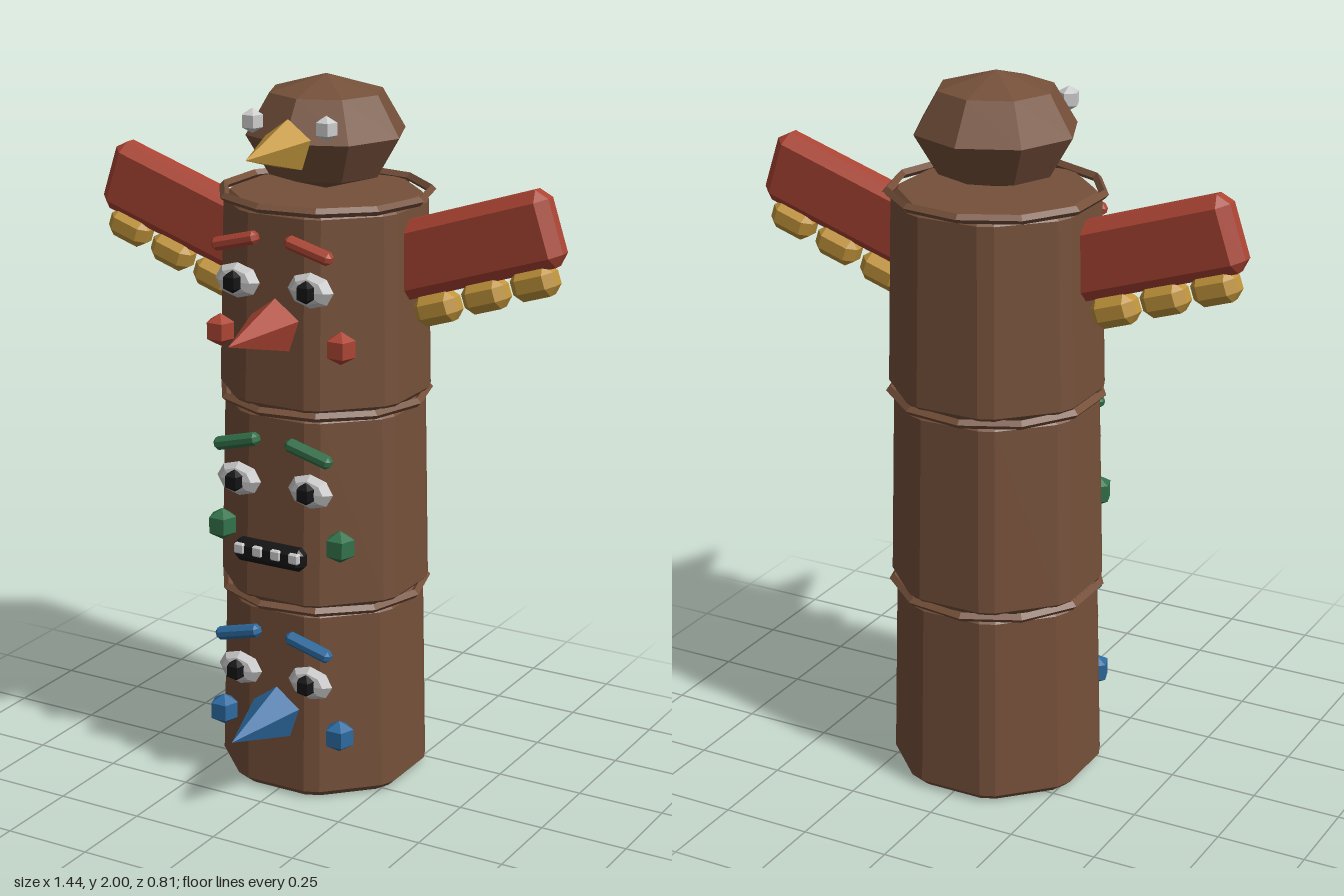
import * as THREE from 'three';
import { ConvexGeometry } from 'three/addons/geometries/ConvexGeometry.js';

const mat = (color) => new THREE.MeshStandardMaterial({ color, flatShading: true });
const AXIS = -0.11; // z of the pole's centre line
const STEP = 0.56; // height of one pole section

// Box with every edge chamfered by c
function chamferBox(w, h, d, c) {
  const pts = [];
  for (const sx of [-1, 1]) for (const sy of [-1, 1]) for (const sz of [-1, 1]) {
    for (let k = 0; k < 3; k++) {
      const cut = [c, c, c];
      cut[k] = 0;
      pts.push(new THREE.Vector3(sx * (w / 2 - cut[0]), sy * (h / 2 - cut[1]), sz * (d / 2 - cut[2])));
    }
  }
  return new ConvexGeometry(pts);
}

// Tapered octagonal section with a flat front and chamfered edges
function sectionGeometry() {
  const pts = [];
  const bevel = 0.024;
  for (const [y, apothem] of [[0, 0.257], [0.02, 0.278], [STEP - 0.02, 0.266], [STEP, 0.248]]) {
    const half = apothem * Math.tan(Math.PI / 8) - bevel;
    for (let i = 0; i < 8; i++) {
      const a = (i * Math.PI) / 4;
      for (const s of [-half, half]) {
        pts.push(new THREE.Vector3(
          Math.sin(a) * apothem + Math.cos(a) * s, y,
          Math.cos(a) * apothem - Math.sin(a) * s));
      }
    }
  }
  return new ConvexGeometry(pts);
}

// Five-sided bead with one flat face to the front
const bead = (r) => new THREE.SphereGeometry(r, 5, 3).rotateY(-Math.PI / 2);

// Five-sided beak pointing to +z, base at the origin, one corner up
const beak = (r, length) => new THREE.ConeGeometry(r, length, 5)
  .translate(0, length / 2, 0).rotateY(Math.PI).rotateX(Math.PI / 2);

export function createModel() {
  const model = new THREE.Group();
  const wood = mat(0x75503a), red = mat(0xab4433), green = mat(0x32714a);
  const blue = mat(0x2d6a9f), gold = mat(0xc2953c), white = mat(0xcfcfcf), black = mat(0x141416);

  const add = (parent, name, geometry, material, x, y, z, rz = 0) => {
    const mesh = new THREE.Mesh(geometry, material);
    mesh.name = name;
    mesh.position.set(x, y, z);
    mesh.rotation.z = rz;
    parent.add(mesh);
    return mesh;
  };

  const section = sectionGeometry();
  const ring = new THREE.TorusGeometry(0.288, 0.013, 4, 11).rotateX(Math.PI / 2);
  const eye = new THREE.SphereGeometry(0.07, 8, 4).rotateX(Math.PI / 2).scale(1, 0.7, 0.4);
  const pupil = bead(0.032);
  const brow = chamferBox(0.145, 0.036, 0.036, 0.011);
  const cheek = bead(0.046);

  // Three stacked faces, from the bottom up
  [['lower', blue], ['middle', green], ['upper', red]].forEach(([name, paint], i) => {
    const face = new THREE.Group();
    face.name = name + 'Section';
    face.position.y = i * STEP;
    model.add(face);

    add(face, 'poleSection', section, wood, 0, 0, AXIS);
    add(face, 'ring', ring, wood, 0, STEP, AXIS);
    for (const s of [1, -1]) {
      const side = s > 0 ? 'left' : 'right';
      add(face, side + 'Eye', eye, white, s * 0.113, 0.355, 0.168);
      add(face, side + 'Pupil', pupil, black, s * 0.113, 0.355, 0.192);
      add(face, side + 'Brow', brow, paint, s * 0.113, 0.465, 0.178, s * -0.26);
      add(face, side + 'Cheek', cheek, paint, s * 0.188, 0.2, 0.137);
    }
    if (name === 'middle') {
      // Mouth with a row of teeth
      add(face, 'mouth', chamferBox(0.22, 0.064, 0.05, 0.016), black, 0, 0.162, 0.19);
      const tooth = chamferBox(0.032, 0.03, 0.02, 0.004);
      for (let t = 0; t < 4; t++) add(face, 'tooth', tooth, white, -0.086 + t * 0.0575, 0.17, 0.21);
    } else {
      add(face, 'nose', beak(0.083, 0.255), paint, 0, 0.24, 0.145);
    }
  });

  // Bird head on top
  const head = new THREE.Group();
  head.name = 'head';
  model.add(head);
  add(head, 'skull', new THREE.SphereGeometry(0.224, 8, 4).scale(1, 0.7, 1), wood, 0, 1.843, AXIS);
  add(head, 'beak', beak(0.073, 0.215), gold, 0, 1.835, 0.092);
  for (const s of [1, -1]) {
    add(head, s > 0 ? 'leftHeadEye' : 'rightHeadEye', bead(0.034), white, s * 0.113, 1.893, 0.087);
  }

  // Raised wings with three feathers hanging below each
  const wingBox = chamferBox(0.56, 0.21, 0.09, 0.03);
  const feather = chamferBox(0.13, 0.085, 0.08, 0.024);
  const tilt = 0.32;
  for (const s of [1, -1]) {
    const wing = new THREE.Group();
    wing.name = s > 0 ? 'leftWing' : 'rightWing';
    model.add(wing);
    add(wing, 'wingPanel', wingBox, red, s * 0.43, 1.575, -0.105, s * tilt);
    for (let f = 0; f < 3; f++) {
      add(wing, 'feather', feather, gold, s * (0.352 + f * 0.142), 1.398 + f * 0.053, -0.105, s * tilt);
    }
  }
  return model;
}
